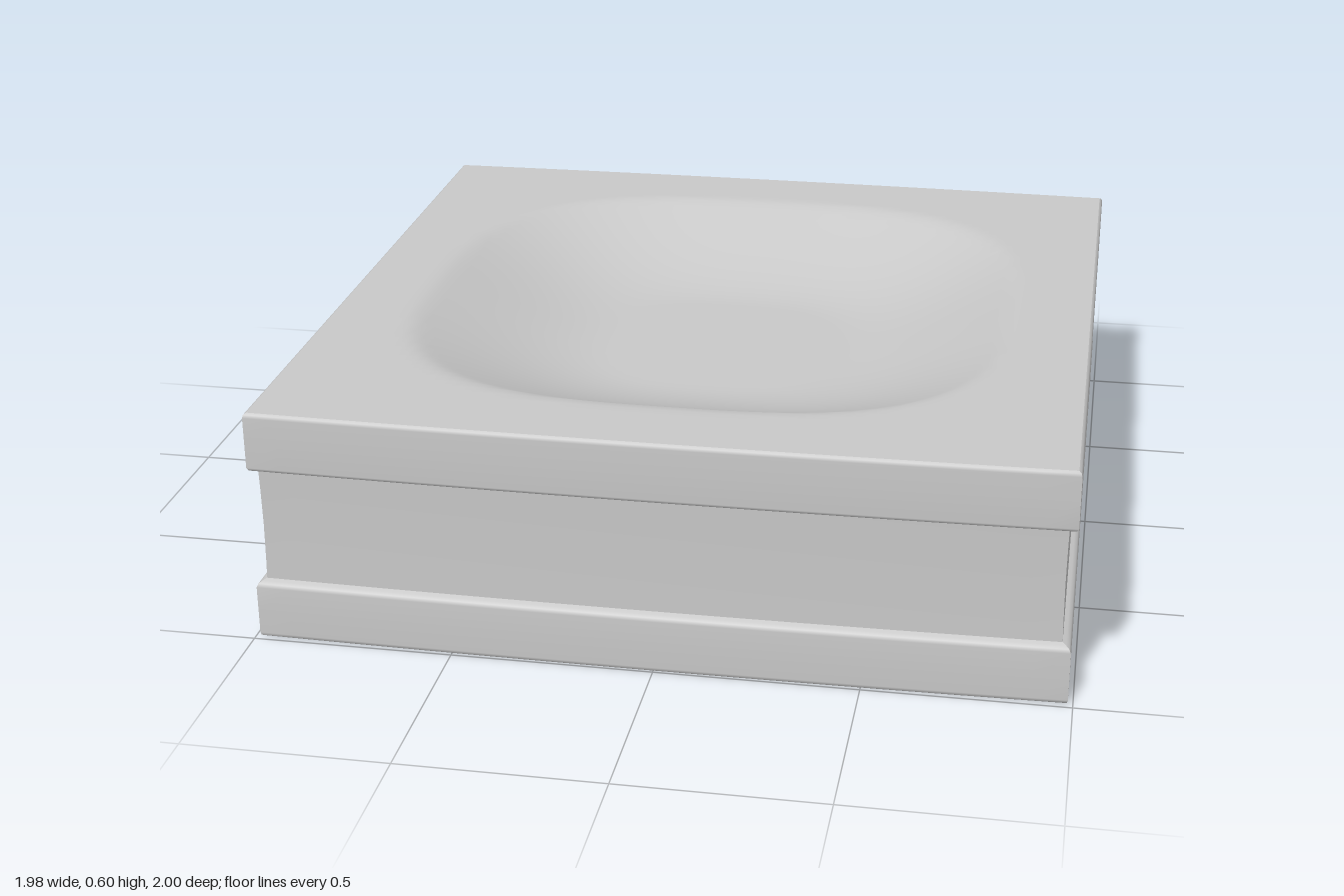
import * as THREE from 'three';

const HX = 0.988, HZ = 0.988, BULGE = 0.012, TOP = 0.6;

// Side profile from bottom to top: [inset, height]
const lowerSlab = [[0.008, 0], [0.002, 0.004], [0, 0.012], [0, 0.07], [0, 0.136], [0.004, 0.145], [0.012, 0.15], [0.021, 0.154]];
const band = [[0.021, 0.154], [0.022, 0.2], [0.023, 0.3], [0.022, 0.4], [0.021, 0.446]];
const upperSlab = [[0.021, 0.446], [0.012, 0.447], [0.004, 0.45], [0, 0.458], [0, 0.53], [0, 0.588], [0.002, 0.596], [0.008, TOP]];

// Front and back edges bow outward very slightly
const edgeZ = (u, inset) => HZ - inset + BULGE * (1 - u * u);

// One wall of the square, swept from a profile; side 0..3 = front, left, back, right
function wall(profile, side, material) {
  const n = 24, pos = [], index = [];
  for (let j = 0; j < profile.length; j++) {
    const [inset, y] = profile[j];
    for (let i = 0; i <= n; i++) {
      const u = -1 + 2 * i / n;
      const s = side < 2 ? 1 : -1;
      if (side % 2 === 0) pos.push(s * u * (HX - inset), y, s * edgeZ(u, inset));
      else pos.push(s * (HX - inset), y, -s * u * (HZ - inset));
      if (i < n && j < profile.length - 1) {
        const a = j * (n + 1) + i, b = a + n + 1;
        index.push(a, a + 1, b + 1, a, b + 1, b);
      }
    }
  }
  const g = new THREE.BufferGeometry();
  g.setAttribute('position', new THREE.Float32BufferAttribute(pos, 3));
  g.setIndex(index);
  g.computeVertexNormals();
  return new THREE.Mesh(g, material);
}

// Depth of the rounded-square hollow: a clear lip easing into a curved floor
function hollow(x, z) {
  const r = Math.cbrt(Math.abs(x) ** 3 + Math.abs(z) ** 3);
  const t = THREE.MathUtils.clamp((0.78 - r) / 0.48, 0, 1);
  const soft = t * t * (3 - 2 * t), crisp = 1 - (1 - t) ** 2;
  return 0.15 * (0.3 * soft + 0.7 * crisp);
}

// Square cap that follows the bowed outline, facing up (1) or down (-1)
function cap(inset, segments, facing, heightAt) {
  const g = new THREE.PlaneGeometry(2, 2, segments, segments);
  g.rotateX(-facing * Math.PI / 2);
  const p = g.attributes.position;
  for (let i = 0; i < p.count; i++) {
    const u = p.getX(i), v = p.getZ(i);
    const x = u * (HX - inset), z = v * edgeZ(u, inset);
    p.setXYZ(i, x, heightAt(x, z), z);
  }
  g.computeVertexNormals();
  return g;
}

export function createModel() {
  const group = new THREE.Group();
  group.name = 'hollowedBlock';
  const stone = new THREE.MeshStandardMaterial({ color: 0xc8c8c8 });
  stone.name = 'stone grey';

  // Two slabs with a recessed band between them
  for (const [name, profile] of Object.entries({ lowerSlab, band, upperSlab })) {
    const part = new THREE.Group();
    part.name = name;
    for (let side = 0; side < 4; side++) part.add(wall(profile, side, stone));
    group.add(part);
  }

  // Dished top
  const top = new THREE.Mesh(cap(0.008, 72, 1, (x, z) => TOP - hollow(x, z)), stone);
  top.name = 'dishedTop';
  group.add(top);

  // Flat underside
  const bottom = new THREE.Mesh(cap(0.008, 24, -1, () => 0), stone);
  bottom.name = 'underside';
  group.add(bottom);

  return group;
}
